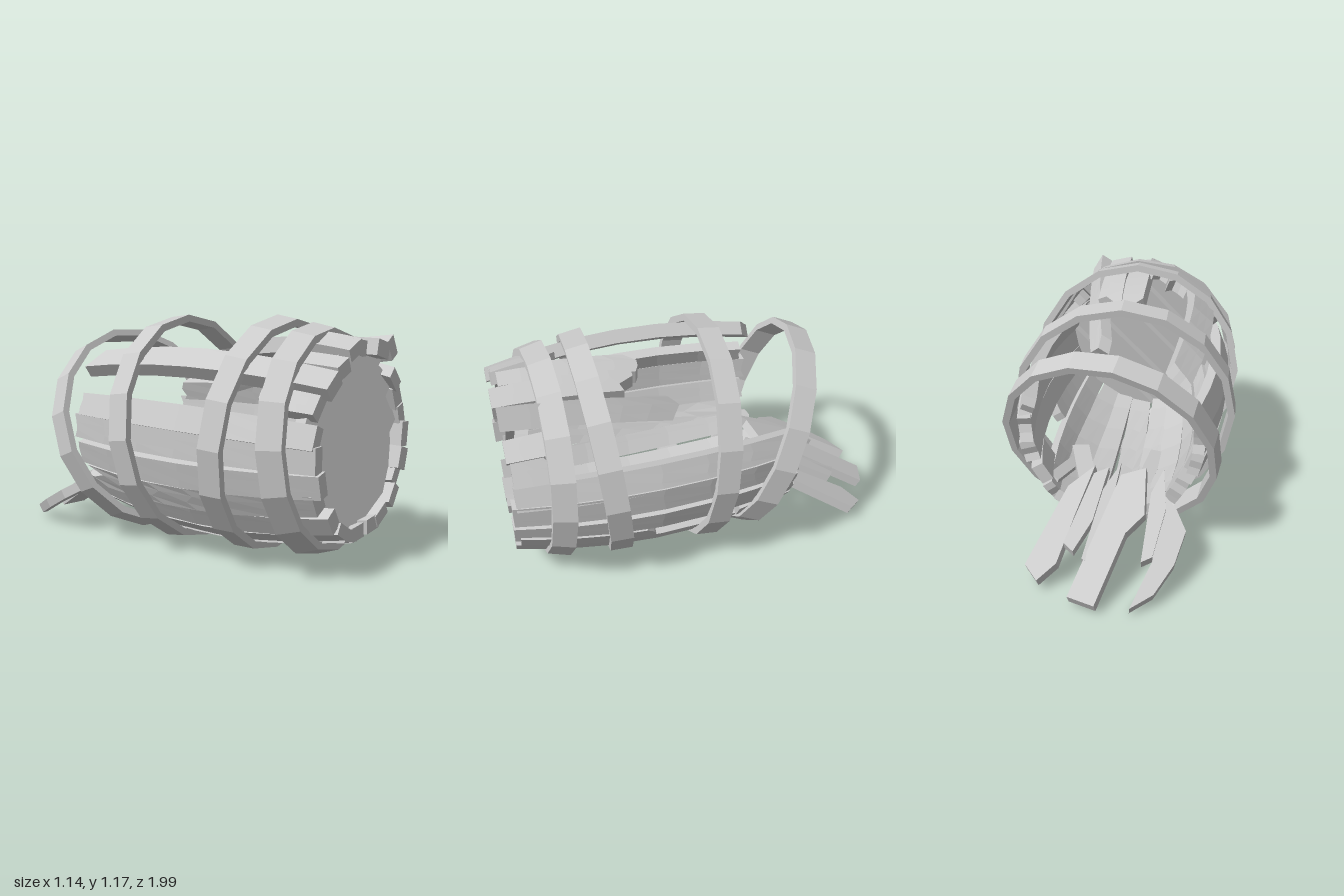
import * as THREE from 'three';

const CENTRE_Y = 0.57;
const material = new THREE.MeshStandardMaterial({ color: 0xcccccc, flatShading: true });

function seeded(seed) {
  return () => {
    seed = (seed * 16807) % 2147483647;
    return seed / 2147483647;
  };
}

function addMesh(parent, name, geometry) {
  const mesh = new THREE.Mesh(geometry, material);
  mesh.name = name;
  parent.add(mesh);
  return mesh;
}

// Outer radius of the bulging barrel at depth z
const barrelRadius = (z) => 0.44 + 0.085 * (1 - ((z - 0.25) / 0.72) ** 2);

// Bent plank from z = front to z = back. Jag splinters the back end, drop sags it inward,
// rise lifts the front, twist rolls the section and skew slides the back sideways.
function staveGeometry({ front, back, width, thick = 0.065, jag = [0, 0, 0, 0], drop = 0, rise = 0, twist = 0, skew = 0 }) {
  const geometry = new THREE.BoxGeometry(width, thick, 1, 3, 1, 6);
  const p = geometry.attributes.position;
  for (let i = 0; i < p.count; i++) {
    const x = p.getX(i), y = p.getY(i), t = p.getZ(i) + 0.5;
    const column = Math.round((x / width + 0.5) * 3);
    const z = THREE.MathUtils.lerp(back + jag[column], front, t);
    const r = barrelRadius(z) + rise - drop * (front - z) - thick / 2;
    const wide = x * (0.25 + 0.75 * barrelRadius(z) / 0.525);
    p.setXYZ(i,
      wide * Math.cos(twist) + y * Math.sin(twist) + skew * (z - 0.25),
      r + y * Math.cos(twist) - wide * Math.sin(twist), z);
  }
  return geometry;
}

// Sixteen-sided band whose axis follows the given normal; flare narrows its front rim
function addHoop(parent, radius, position, normal, flare = 0) {
  const h = 0.055, thick = 0.035, front = radius - flare;
  const profile = [[radius, -h], [front, h], [front - thick, h], [radius - thick, -h], [radius, -h]]
    .map(([x, y]) => new THREE.Vector2(x, y));
  const hoop = addMesh(parent, 'hoop', new THREE.LatheGeometry(profile, 16));
  hoop.position.set(...position);
  hoop.quaternion.setFromUnitVectors(
    new THREE.Vector3(0, 1, 0), new THREE.Vector3(...normal).normalize());
}

function extrudePoints(points, depth) {
  const shape = new THREE.Shape(points.map(([x, y]) => new THREE.Vector2(x, y)));
  return new THREE.ExtrudeGeometry(shape, { depth, bevelEnabled: false });
}

export function createModel() {
  const model = new THREE.Group();
  model.name = 'brokenBarrel';
  const random = seeded(4711);

  // Staves around the barrel, angles in degrees clockwise from the top
  const staves = new THREE.Group();
  staves.name = 'staves';
  staves.position.set(0.012, CENTRE_Y, 0);
  model.add(staves);
  const broken = {
    0: { back: 0.25, drop: 0.18, rise: 0.03 },
    15: { back: 0.28, drop: 0.2, rise: 0.05 },
    30: { back: 0.06, drop: 0.38, rise: 0.09, twist: 0.5 },
    45: { back: 0.66 },
    60: { back: 0.68 },
    120: { back: 0.27 },
    180: { back: -0.36 },
    195: { back: -0.34 },
    240: { back: -0.38 },
    300: { back: 0.66 },
    315: { back: -0.45, rise: 0.025 },
    330: { back: 0.68, drop: 0.1 },
    345: { back: 0.64, rise: 0.03, drop: 0.05 },
  };
  for (let angle = 0; angle < 360; angle += 15) {
    const damage = broken[angle];
    const options = {
      front: 0.93 + random() * 0.05,
      back: -0.45 + random() * 0.05,
      width: 0.11 + random() * 0.03,
      thick: 0.055 + random() * 0.025,
      twist: (random() - 0.5) * 0.4,
      skew: (random() - 0.5) * 0.06,
      ...damage,
    };
    options.jag = [0, 1, 2, 3].map(() => random() * (damage ? 0.12 : 0.03));
    const stave = addMesh(staves, damage ? 'brokenStave' : 'stave', staveGeometry(options));
    stave.rotation.z = THREE.MathUtils.degToRad(-angle + (random() - 0.5) * 3);
  }

  // Splintered stub left at the rear of the side gap
  const stub = addMesh(staves, 'staveStub', staveGeometry({ front: -0.12, back: -0.43, width: 0.11, drop: 0.05 }));
  stub.rotation.z = THREE.MathUtils.degToRad(-122);

  // Hoops: three still hold the barrel, the last has slipped
  addHoop(model, 0.545, [0, 0.58, 0.77], [0.05, 0.07, 1], 0.03);
  addHoop(model, 0.57, [0, 0.578, 0.505], [0, -0.08, 1], 0.01);
  addHoop(model, 0.57, [0, 0.565, -0.02], [0, 0.13, 1]);
  addHoop(model, 0.54, [0.02, 0.53, -0.37], [-0.17, 0.39, 1]);

  // Front lid of diagonal boards, each tilted a little, cut to a round outline
  const lid = new THREE.Group();
  lid.name = 'frontLid';
  lid.position.set(0, CENTRE_Y + 0.01, 0.85);
  lid.rotation.z = -Math.PI / 4;
  model.add(lid);
  const lidRadius = 0.42, boards = 5, pitch = (2 * lidRadius) / boards;
  for (let i = 0; i < boards; i++) {
    const centre = -lidRadius + (i + 0.5) * pitch;
    const us = [-0.5, -0.17, 0.17, 0.5].map((k) => k * pitch);
    const half = (u) => Math.sqrt(Math.max(0, lidRadius ** 2 - (centre + u) ** 2));
    const outline = [...us.map((u) => [u, -half(u)]), ...us.reverse().map((u) => [u, half(u) + 0.001])];
    const board = addMesh(lid, 'lidBoard', extrudePoints(outline, 0.06));
    board.position.x = centre;
    board.rotation.y = -0.26;
  }

  // Rear lid, smashed and fallen outward; outlines lie in its sloping plane
  const rear = new THREE.Group();
  rear.name = 'brokenRearLid';
  rear.position.set(0, 0.29, -0.43);
  rear.rotation.x = -Math.PI / 2 - 0.49;
  model.add(rear);
  const pieces = [
    [[-0.25, 0.02], [-0.19, 0.2], [-0.23, 0.37], [-0.15, 0.62], [-0.25, 0.54], [-0.33, 0.38], [-0.37, 0.2], [-0.31, 0.08]],
    [[-0.24, -0.12], [-0.19, 0.02], [-0.18, 0.39], [-0.23, 0.36], [-0.27, 0.1]],
    [[-0.16, -0.1], [-0.04, -0.06], [0.13, 0.59], [0, 0.63], [-0.1, 0.26], [-0.18, 0.16]],
    [[-0.02, -0.14], [0.05, 0.02], [0.1, 0.4], [0.06, 0.42], [0, 0.1]],
    [[0.03, -0.1], [0.1, -0.06], [0.19, 0.33], [0.14, 0.37], [0.07, 0.2]],
    [[0.1, -0.12], [0.22, 0], [0.36, 0.43], [0.29, 0.51], [0.21, 0.42], [0.16, 0.16]],
  ];
  pieces.forEach((points, i) => {
    const piece = addMesh(rear, 'rearLidPiece', extrudePoints(points, 0.05));
    piece.position.z = (i % 2) * -0.015;
    piece.rotation.y = 0.1 * (i % 3 - 1);
  });

  // Loose splinters lying inside the barrel: position, size, rotation
  const splinters = [
    [[-0.12, 0.13, 0], [0.08, 0.035, 0.55], [0.04, -0.1, 0.1]],
    [[0.18, 0.25, -0.2], [0.09, 0.035, 0.42], [-0.15, 0.3, 0.1]],
    [[0.28, 0.26, -0.2], [0.06, 0.03, 0.36], [0.2, -0.2, 0.4]],
  ];
  for (const [position, size, rotation] of splinters) {
    const splinter = addMesh(model, 'splinter', new THREE.BoxGeometry(...size));
    splinter.position.set(...position);
    splinter.rotation.set(...rotation);
  }
  return model;
}
